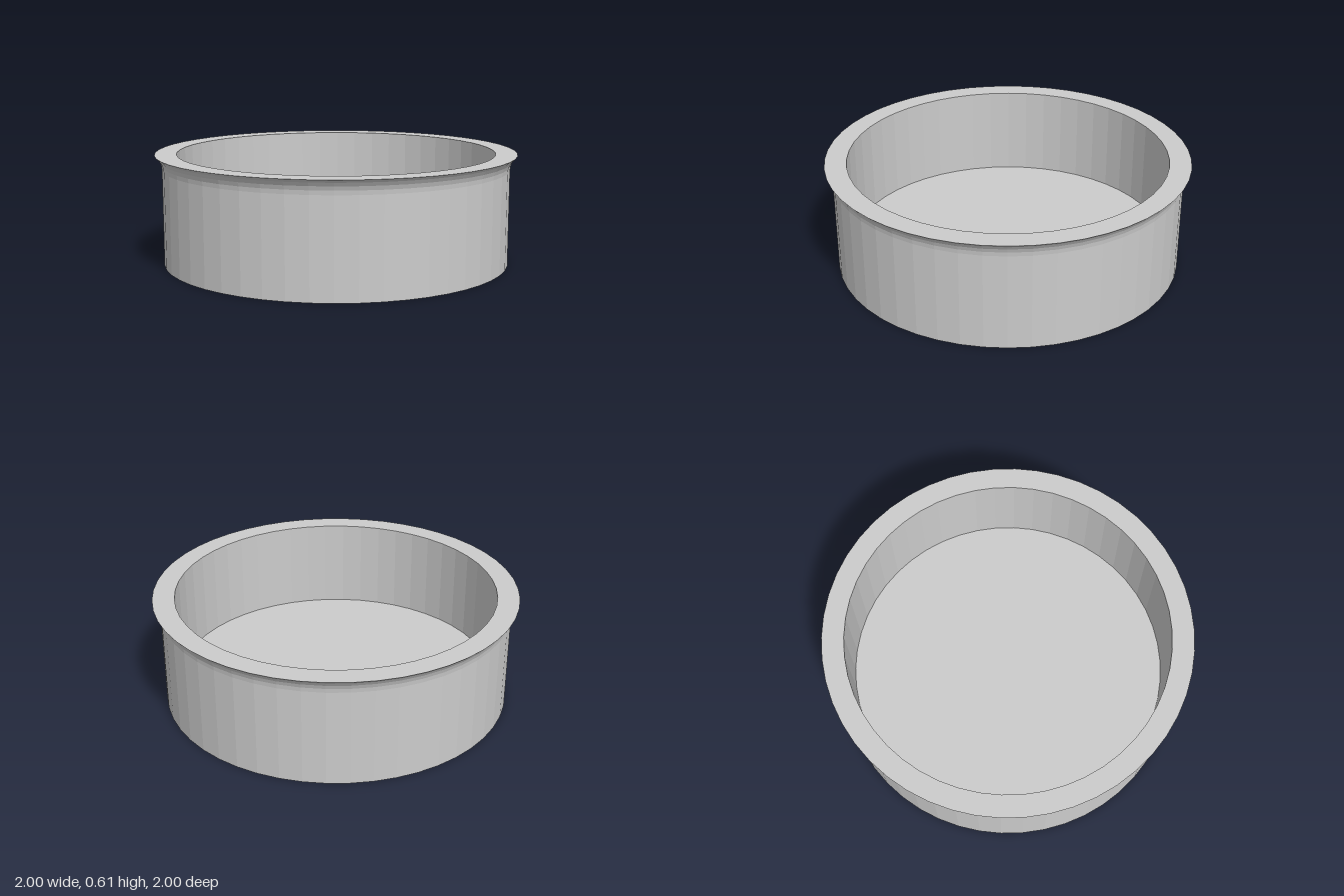
import * as THREE from 'three';

export function createModel() {
  const group = new THREE.Group();
  const material = new THREE.MeshStandardMaterial({ color: 0xcccccc, flatShading: true });

  const height = 0.61, wallRadius = 0.96, innerRadius = 0.88, floorY = 0.104;
  const flareStart = 0.53, flareRadius = 0.1, flareSteps = 4;
  const flareAngle = Math.asin((height - flareStart) / flareRadius);

  // Closed cross-section: underside, outer wall, flared lip, flat rim, inner wall, floor
  const profile = [new THREE.Vector2(0, 0), new THREE.Vector2(wallRadius, 0)];
  for (let i = 0; i <= flareSteps; i++) {
    const a = (flareAngle * i) / flareSteps;
    profile.push(new THREE.Vector2(
      wallRadius + flareRadius * (1 - Math.cos(a)),
      flareStart + flareRadius * Math.sin(a)
    ));
  }
  profile.push(
    new THREE.Vector2(innerRadius, height),
    new THREE.Vector2(innerRadius, floorY),
    new THREE.Vector2(0, floorY)
  );

  // Start the 50 sides at +x
  const dish = new THREE.Mesh(new THREE.LatheGeometry(profile, 50, Math.PI / 2), material);
  dish.name = 'flaredDish';
  group.add(dish);
  return group;
}
